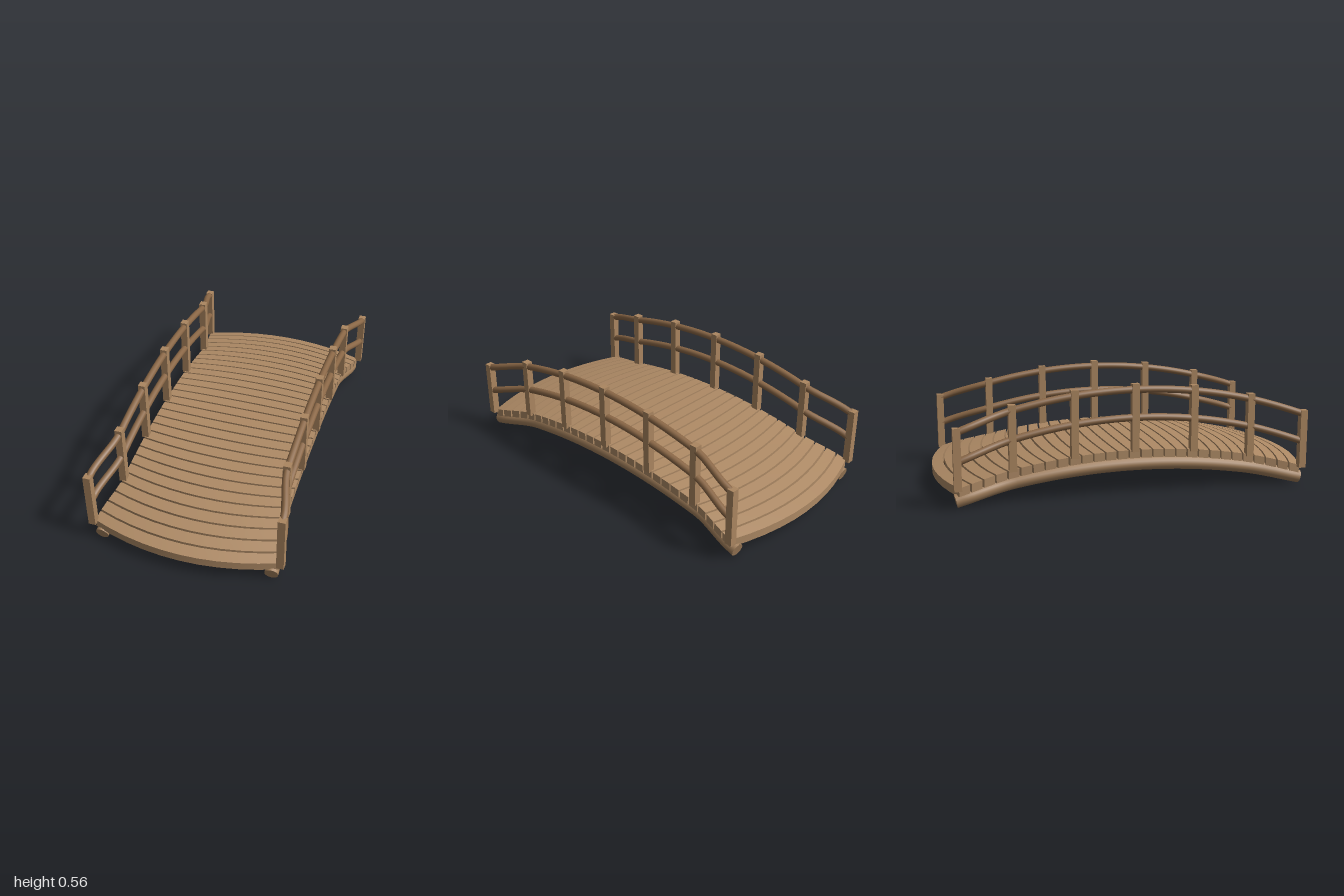
import * as THREE from 'three';

// Local frame: x runs along the bridge, z across it; the whole bridge is turned about y.
const HEADING = 0.745;
const END = 0.88;

const smooth = (t) => { t = Math.min(1, Math.max(0, t)); return t * t * (3 - 2 * t); };
const flare = (u) => smooth((Math.abs(u) - 0.6) / 0.28);
const railZ = (u) => 0.425 + 0.053 * flare(u);
const beamZ = (u) => 0.39 + 0.045 * flare(u);
const arch = (top, drop) => (u) => top - drop * u * u;
const deckY = arch(0.226, 0.161);

const wood = (name, color) => {
  const m = new THREE.MeshStandardMaterial({ color });
  m.name = name;
  return m;
};

export function createModel() {
  const plankWood = wood('plank wood', 0xae8a65);
  const postWood = wood('post wood', 0xab8660);
  const beamWood = wood('beam wood', 0xa27f5b);
  const railWood = wood('rail wood', 0x8a6746);

  const bridge = new THREE.Group();
  bridge.name = 'footbridge';

  const add = (parent, name, geometry, material) => {
    const mesh = new THREE.Mesh(geometry, material);
    mesh.name = name;
    parent.add(mesh);
    return mesh;
  };

  // Round pole following an arch, closed with a disc at each end
  const pole = (name, side, yOf, zOf, end, radius, material) => {
    const group = new THREE.Group();
    group.name = name;
    const points = [];
    for (let i = 0; i <= 32; i++) {
      const u = -end + (2 * end * i) / 32;
      points.push(new THREE.Vector3(u, yOf(u), side * zOf(u)));
    }
    const curve = new THREE.CatmullRomCurve3(points);
    add(group, name + 'Shaft', new THREE.TubeGeometry(curve, 64, radius, 14), material);
    for (const t of [0, 1]) {
      const cap = add(group, name + 'Cap', new THREE.CircleGeometry(radius, 14), material);
      const outward = curve.getTangent(t).multiplyScalar(t ? 1 : -1);
      cap.position.copy(curve.getPoint(t));
      cap.quaternion.setFromUnitVectors(new THREE.Vector3(0, 0, 1), outward);
    }
    bridge.add(group);
  };

  // Deck planks: arched along the bridge, bowed outward and widened towards the ends
  const deck = new THREE.Group();
  deck.name = 'deck';
  const count = 29, pitch = (2 * END) / count, thick = 0.042;
  for (let i = 0; i < count; i++) {
    const centre = -END + (i + 0.5) * pitch;
    const geometry = new THREE.BoxGeometry(pitch - 0.009, thick, 2, 1, 1, 10);
    const p = geometry.attributes.position;
    for (let k = 0; k < p.count; k++) {
      const s = centre + p.getX(k), v = p.getZ(k);
      const bow = 1 + 0.105 * (1 - v * v);
      p.setXYZ(k, s * bow, deckY(s) - thick / 2 + p.getY(k), v * (railZ(s) + 0.004 - 0.012 * flare(s)));
    }
    geometry.computeVertexNormals();
    add(deck, 'plank', geometry, plankWood);
  }
  bridge.add(deck);

  // Beams, rails and posts on both sides
  const postTops = [[0, 0.56], [0.307, 0.541], [0.612, 0.484], [0.882, 0.395]];
  for (const side of [-1, 1]) {
    pole('beam', side, arch(0.147, 0.145), beamZ, 0.89, 0.034, beamWood);
    pole('upperRail', side, arch(0.53, 0.2), railZ, 0.885, 0.018, railWood);
    pole('lowerRail', side, arch(0.39, 0.205), railZ, 0.885, 0.018, railWood);

    for (const [u, top] of postTops) {
      for (const end of u ? [-1, 1] : [1]) {
        const bottom = deckY(u) - 0.008;
        const post = add(bridge, 'post', new THREE.BoxGeometry(0.037, top - bottom, 0.037), postWood);
        post.position.set(end * u, (top + bottom) / 2, side * railZ(u));
      }
    }
  }

  bridge.rotation.y = HEADING;
  const model = new THREE.Group();
  model.name = 'archedFootbridge';
  model.add(bridge);
  return model;
}
